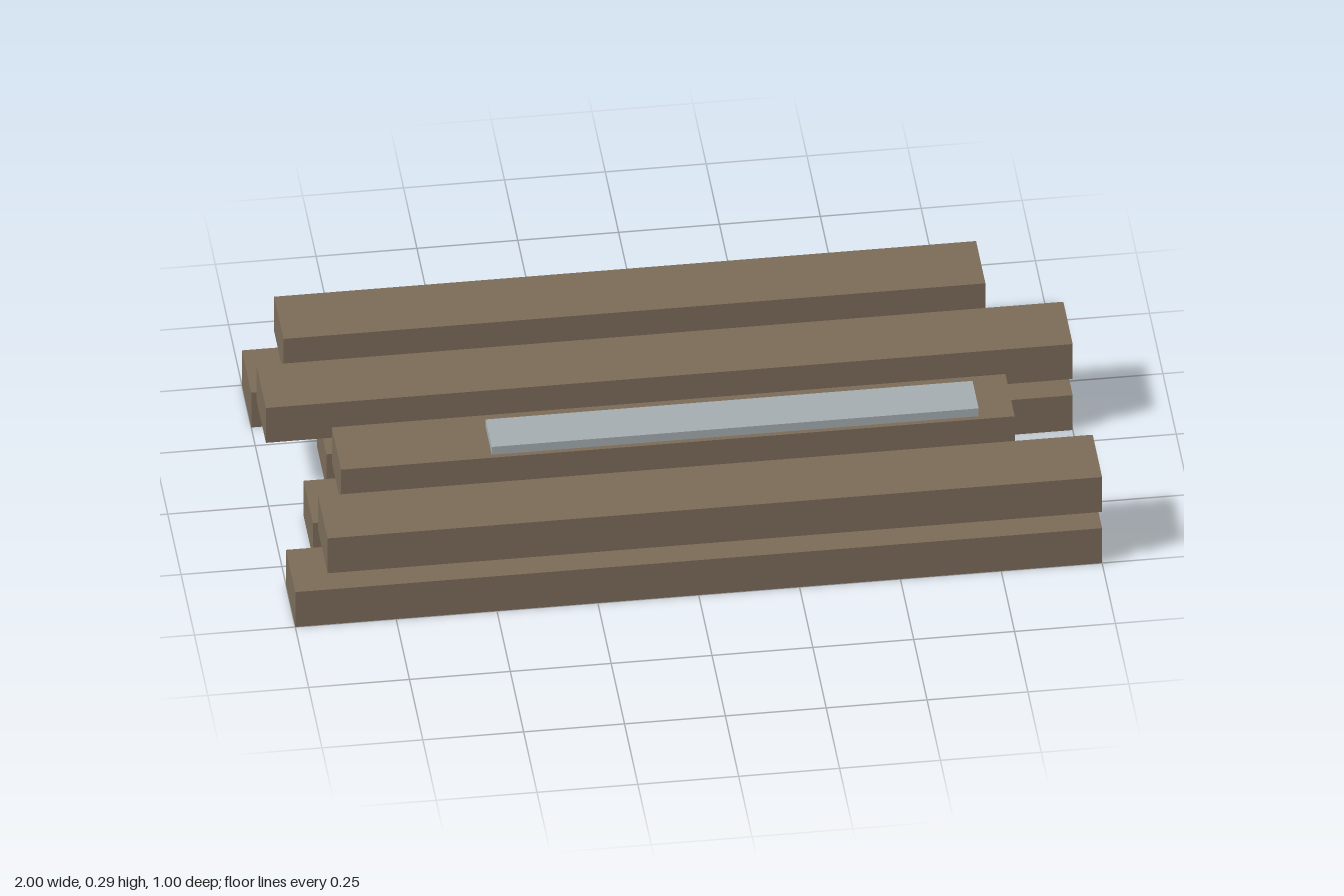
import * as THREE from 'three';

const WOOD = new THREE.MeshStandardMaterial({ color: 0x7a6b58 });
const METAL = new THREE.MeshStandardMaterial({ color: 0xa3abae });

// Box given by its extents on each axis
function block(name, material, [x0, x1], [y0, y1], [z0, z1]) {
  const mesh = new THREE.Mesh(new THREE.BoxGeometry(x1 - x0, y1 - y0, z1 - z0), material);
  mesh.name = name;
  mesh.position.set((x0 + x1) / 2, (y0 + y1) / 2, (z0 + z1) / 2);
  return mesh;
}

export function createModel() {
  const model = new THREE.Group();
  model.name = 'beamStack';

  // Four rows of beams, front to back: shared right end, then left ends of the lower and upper beam
  const rows = [
    { z: 0.4125, end: 1, lower: -1, upper: -0.92 },
    { z: 0.1375, end: 0.82, lower: -0.92, upper: -0.85 },
    { z: -0.1375, end: 1, lower: -0.85, upper: -1 },
    { z: -0.4125, end: 0.82, lower: -1, upper: -0.92 },
  ];
  const layers = { lower: [0, 0.107], upper: [0.157, 0.264] };
  const half = 0.0875;

  rows.forEach((row, i) => {
    for (const layer of ['lower', 'upper']) {
      model.add(block(`${layer}Beam${i + 1}`, WOOD,
        [row[layer], row.end], layers[layer], [row.z - half, row.z + half]));
    }
  });

  // Flat metal strip lying on the second upper beam
  model.add(block('metalStrip', METAL, [-0.475, 0.732], [0.264, 0.288], [0.099, 0.213]));

  return model;
}
